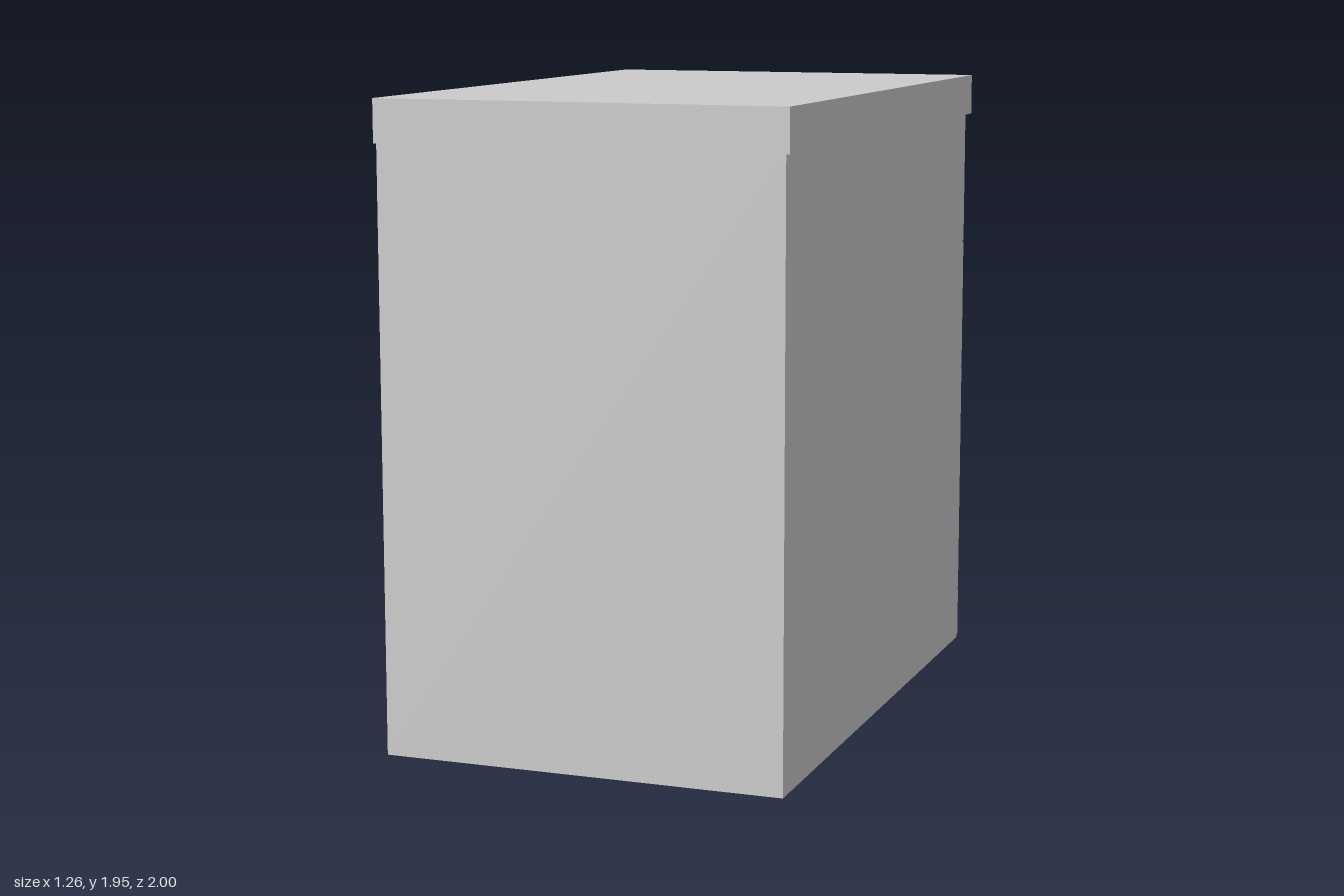
import * as THREE from 'three';

const material = new THREE.MeshStandardMaterial({ color: 0xcccccc, flatShading: true });

function addMesh(parent, name, geometry) {
  const mesh = new THREE.Mesh(geometry, material);
  mesh.name = name;
  parent.add(mesh);
  return mesh;
}

// Box given by its extents on each axis
function addBox(parent, name, [x0, x1], [y0, y1], [z0, z1]) {
  const mesh = addMesh(parent, name, new THREE.BoxGeometry(x1 - x0, y1 - y0, z1 - z0));
  mesh.position.set((x0 + x1) / 2, (y0 + y1) / 2, (z0 + z1) / 2);
  return mesh;
}

function rectangle(Type, halfWidth, y0, y1) {
  return new Type([
    new THREE.Vector2(-halfWidth, y0), new THREE.Vector2(halfWidth, y0),
    new THREE.Vector2(halfWidth, y1), new THREE.Vector2(-halfWidth, y1),
  ]);
}

// Upright panel pierced by grip slots
function addSlottedPanel(parent, name, halfWidth, y0, y1, slots, z0, z1) {
  const shape = rectangle(THREE.Shape, halfWidth, y0, y1);
  for (const [s0, s1] of slots) shape.holes.push(rectangle(THREE.Path, 0.455, s0, s1));
  const geometry = new THREE.ExtrudeGeometry(shape, { depth: z1 - z0, bevelEnabled: false });
  addMesh(parent, name, geometry).position.z = z0;
}

export function createModel() {
  const model = new THREE.Group();
  model.name = 'drawerCabinet';

  const height = 1.82, gap = 0.003;
  const drawers = [
    { y0: 0.165, y1: 0.947, grip: 0.565 },
    { y0: 0.947, y1: 1.383, grip: 1.17 },
    { y0: 1.383, y1: height, grip: 1.605 },
  ];
  const slotOf = (d) => [d.grip - 0.06, d.grip];

  // Worktop, overhanging at the sides
  addBox(model, 'worktop', [-0.63, 0.63], [height, 1.95], [-0.99, 1]);

  // Carcass, with pockets behind the grips
  addBox(model, 'carcass', [-0.62, 0.62], [0, height], [-0.79, 1]);
  addSlottedPanel(model, 'gripPockets', 0.62, 0, height, drawers.map(slotOf), -0.94, -0.79);

  // Plinth below the drawers
  addBox(model, 'plinth', [-0.61, 0.61], [0, 0.165 - gap], [-0.99, -0.94]);

  // Drawer fronts, each with a slot and a raised lip above it
  for (const d of drawers) {
    const drawer = new THREE.Group();
    drawer.name = 'drawer';
    addSlottedPanel(drawer, 'drawerFront', 0.61, d.y0 + gap, d.y1 - gap, [slotOf(d)], -0.99, -0.94);
    addBox(drawer, 'gripLip', [-0.455, 0.455], [d.grip, d.grip + 0.055], [-1, -0.985]);
    model.add(drawer);
  }
  return model;
}
